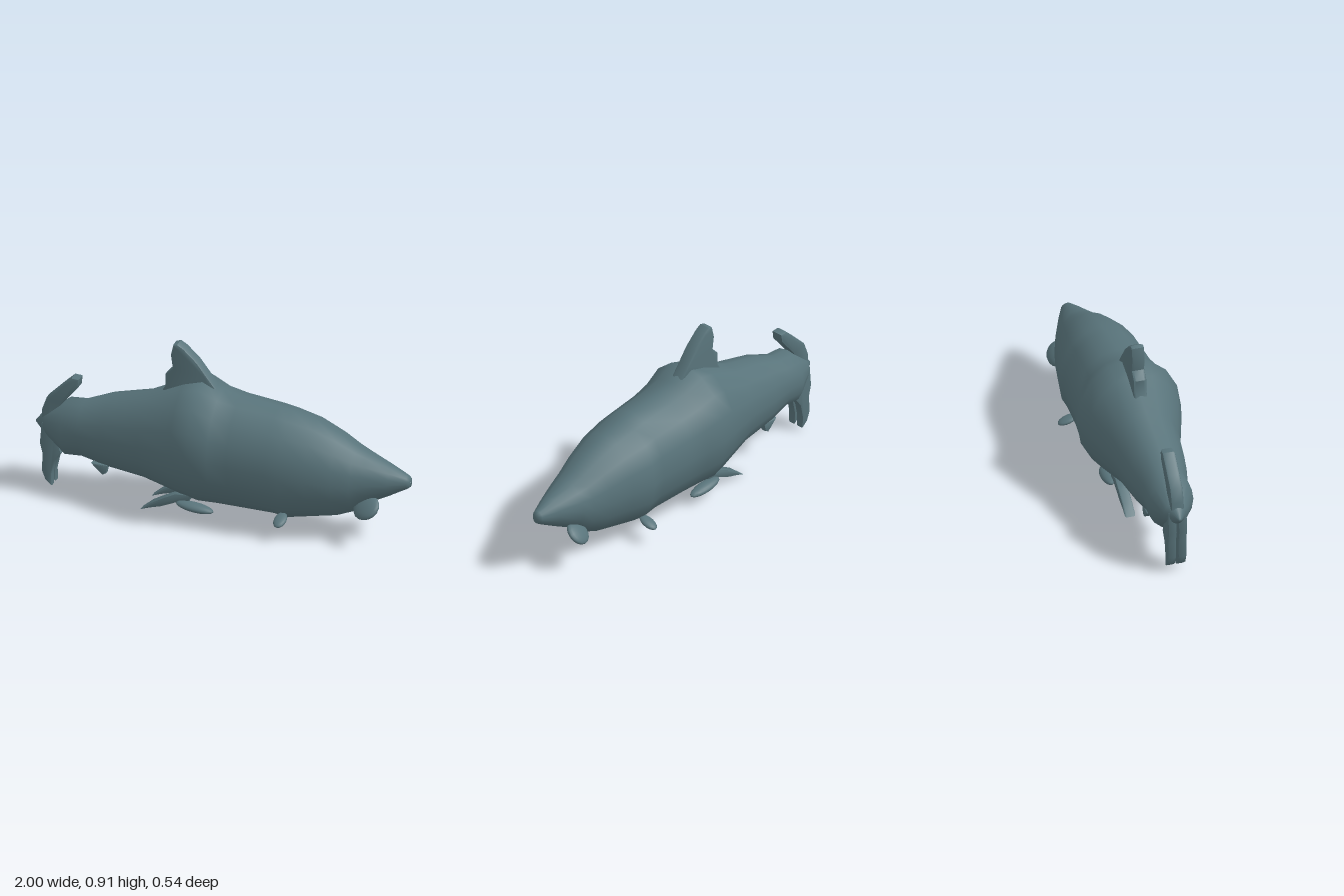
import * as THREE from 'three';
import { toCreasedNormals } from 'three/addons/utils/BufferGeometryUtils.js';

const skin = new THREE.MeshStandardMaterial({ color: 0x58737a });
skin.name = 'slate skin';

// Body sections: x, top, bottom, half width
const SECTIONS = [
  [-1, 0.355, 0.345, 0.005], [-0.965, 0.4, 0.31, 0.035], [-0.93, 0.42, 0.285, 0.065],
  [-0.83, 0.5, 0.2, 0.12], [-0.74, 0.507, 0.205, 0.12], [-0.6, 0.565, 0.175, 0.153],
  [-0.4, 0.615, 0.15, 0.18], [-0.2, 0.71, 0.1, 0.245], [-0.1, 0.74, 0.08, 0.272],
  [0, 0.692, 0.08, 0.25], [0.1, 0.672, 0.077, 0.236], [0.3, 0.65, 0.073, 0.226],
  [0.37, 0.637, 0.062, 0.228], [0.5, 0.607, 0.088, 0.205], [0.63, 0.55, 0.113, 0.172],
  [0.72, 0.498, 0.15, 0.143], [0.78, 0.47, 0.2, 0.122], [0.9, 0.42, 0.262, 0.073],
  [0.985, 0.382, 0.309, 0.034], [1, 0.37, 0.32, 0.02], [1, 0.346, 0.344, 0.001],
];

// Smooth loft through 16-sided oval rings
function loft(sections, sides) {
  const pos = [], index = [];
  sections.forEach(([x, top, bottom, w], i) => {
    for (let j = 0; j < sides; j++) {
      const a = (j / sides) * Math.PI * 2;
      pos.push(x, (top + bottom) / 2 + ((top - bottom) / 2) * Math.sin(a), w * Math.cos(a));
      if (i < sections.length - 1) {
        const k = (j + 1) % sides, r = i * sides, s = r + sides;
        index.push(r + j, s + j, r + k, s + j, s + k, r + k);
      }
    }
  });
  const g = new THREE.BufferGeometry();
  g.setAttribute('position', new THREE.Float32BufferAttribute(pos, 3));
  g.setIndex(index);
  g.computeVertexNormals();
  return g;
}

// Fin cut from a side outline, with rounded edges, centred on z
function finGeometry(points, thickness, bevel = 0.012) {
  const shape = new THREE.Shape(points.map(([x, y]) => new THREE.Vector2(x, y)));
  const g = new THREE.ExtrudeGeometry(shape, {
    depth: thickness - 2 * bevel, bevelThickness: bevel, bevelSize: bevel,
    bevelOffset: -bevel, bevelSegments: 2,
  });
  g.translate(0, 0, -thickness / 2 + bevel);
  return toCreasedNormals(g, 0.7);
}

export function createModel() {
  const model = new THREE.Group();
  model.name = 'fish';
  const add = (name, geometry) => {
    const mesh = new THREE.Mesh(geometry, skin);
    mesh.name = name;
    model.add(mesh);
    return mesh;
  };
  // Mirrored pair on both sides of the body
  const pair = (name, geometry, [x, y, z], [rx, ry, rz]) => {
    for (const s of [1, -1]) {
      const m = add(name + (s > 0 ? 'Front' : 'Back'), geometry);
      m.position.set(x, y, s * z);
      m.rotation.set(s * rx, s * ry, rz);
    }
  };
  const paddle = (a, b, c) => new THREE.SphereGeometry(1, 16, 10).scale(a, b, c);

  add('body', loft(SECTIONS, 16));

  // Back fin
  add('dorsalFin', finGeometry([
    [-0.35, 0.59], [-0.3, 0.675], [-0.3, 0.74], [-0.262, 0.78], [-0.272, 0.85],
    [-0.258, 0.91], [-0.235, 0.916], [-0.2, 0.895], [-0.13, 0.83], [-0.08, 0.765],
    [-0.03, 0.7], [-0.05, 0.62],
  ], 0.07));

  // Tail: one upper lobe, twin lower lobes
  add('upperTailLobe', finGeometry([
    [-0.965, 0.34], [-0.96, 0.43], [-0.935, 0.5], [-0.885, 0.55], [-0.84, 0.595],
    [-0.8, 0.632], [-0.76, 0.63], [-0.765, 0.585], [-0.81, 0.53], [-0.85, 0.48],
    [-0.9, 0.4], [-0.91, 0.32],
  ], 0.068));
  pair('lowerTailLobe', finGeometry([
    [-0.955, 0.37], [-0.965, 0.25], [-0.95, 0.19], [-0.955, 0.1], [-0.935, 0.05],
    [-0.9, 0.023], [-0.9, 0.09], [-0.885, 0.16], [-0.85, 0.21], [-0.88, 0.3], [-0.91, 0.37],
  ], 0.045, 0.009), [0, 0, 0.027], [0, 0, 0]);

  // Long swept belly fins with short paddles beside their roots
  pair('bellyFin', finGeometry([
    [-0.405, 0.003], [-0.35, 0.05], [-0.28, 0.09], [-0.22, 0.12], [-0.13, 0.13],
    [-0.15, 0.085], [-0.22, 0.07], [-0.3, 0.035], [-0.36, 0.018],
  ], 0.055, 0.009), [0, 0, 0.082], [0, 0, 0]);
  pair('bellyPaddle', paddle(0.1, 0.021, 0.034), [-0.11, 0.07, 0.117], [0.2, 0, -0.12]);

  // Small side fins under the middle of the body
  pair('sideFin', paddle(0.033, 0.016, 0.055), [0.37, 0.11, 0.18], [0.35, 0, 0]);

  // Leaf fins below the head
  pair('headFin', paddle(0.075, 0.025, 0.068), [0.8, 0.215, 0.1], [0.74, 0, 0.3]);

  // Small fins ahead of the tail
  pair('rearFin', finGeometry([
    [-0.68, 0.2], [-0.645, 0.165], [-0.62, 0.143], [-0.6, 0.155], [-0.59, 0.2],
  ], 0.035, 0.007), [0, 0, 0.06], [0.0, 0, 0]);

  return model;
}
